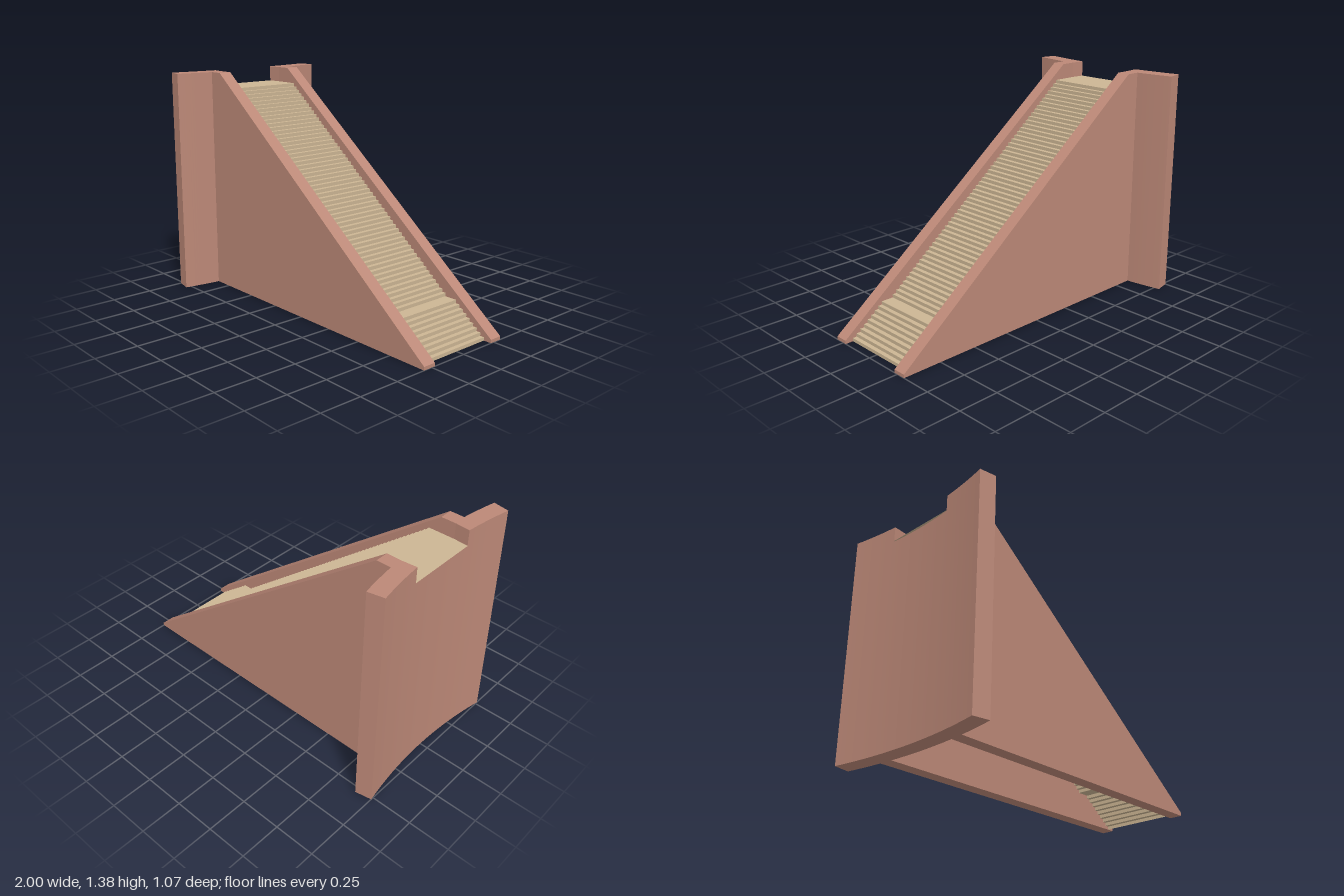
import * as THREE from 'three';

const brick = new THREE.MeshStandardMaterial({ color: 0xbc8877 });
brick.name = 'clay brick';
const sand = new THREE.MeshStandardMaterial({ color: 0xccb593, side: THREE.DoubleSide });
sand.name = 'sandstone';

const WALL_TOP = 1.385, LANDING_Y = 1.29;
const ARC_X = -3.6, R_OUT = 2.65, R_IN = 2.75; // curved back wall, seen from above
const ARC_END = 0.196, NOTCH = 0.083; // angles of the wall end and the doorway edge

function add(group, name, geometry, material) {
  const mesh = new THREE.Mesh(geometry, material);
  mesh.name = name;
  group.add(mesh);
  return mesh;
}

// Upright slab following the arc between two angles
function arcWall(a0, a1, y0, y1) {
  const shape = new THREE.Shape();
  shape.absarc(ARC_X, 0, R_IN, a0, a1, false);
  shape.absarc(ARC_X, 0, R_OUT, a1, a0, true);
  shape.closePath();
  const g = new THREE.ExtrudeGeometry(shape, { depth: y1 - y0, bevelEnabled: false, curveSegments: 10 });
  return g.rotateX(-Math.PI / 2).translate(0, y0, 0);
}

// Sloping side wall, extruded sideways
function sideWall(z0, z1) {
  const shape = new THREE.Shape([
    [-0.9, 0], [1, 0], [1, 0.02], [-0.78, WALL_TOP], [-0.9, WALL_TOP],
  ].map(([x, y]) => new THREE.Vector2(x, y)));
  return new THREE.ExtrudeGeometry(shape, { depth: z1 - z0, bevelEnabled: false }).translate(0, 0, z0);
}

// Folded sheet of risers and treads, open underneath
function stairSheet(halfWidth) {
  const risers = [];
  for (let i = 0; i <= 8; i++) risers.push(0.95 - (0.21 * i) / 8); // lower flight
  for (let i = 0; i <= 54; i++) risers.push(0.66 - (1.37 * i) / 54); // upper flight
  const rise = LANDING_Y / risers.length;
  const profile = [];
  risers.forEach((x, i) => profile.push([x, i * rise], [x, (i + 1) * rise]));
  profile.push([-0.96, LANDING_Y]); // top landing

  const pos = [];
  for (let i = 0; i < profile.length - 1; i++) {
    const [ax, ay] = profile[i], [bx, by] = profile[i + 1], w = halfWidth;
    pos.push(ax, ay, w, ax, ay, -w, bx, by, -w);
    pos.push(ax, ay, w, bx, by, -w, bx, by, w);
  }
  const g = new THREE.BufferGeometry();
  g.setAttribute('position', new THREE.Float32BufferAttribute(pos, 3));
  g.computeVertexNormals();
  return g;
}

export function createModel() {
  const model = new THREE.Group();
  model.name = 'walledStaircase';

  // Curved back wall: tall wings either side of a shallow doorway
  add(model, 'backWallMiddle', arcWall(-NOTCH, NOTCH, 0, LANDING_Y - 0.003), brick);
  add(model, 'rearWing', arcWall(NOTCH, ARC_END, 0, WALL_TOP), brick);
  add(model, 'frontWing', arcWall(-ARC_END, -NOTCH, 0, WALL_TOP), brick);

  // Side walls
  add(model, 'frontSideWall', sideWall(0.227, 0.307), brick);
  add(model, 'rearSideWall', sideWall(-0.307, -0.227), brick);

  // Stairs with the two landings
  add(model, 'stairs', stairSheet(0.228), sand);
  return model;
}
